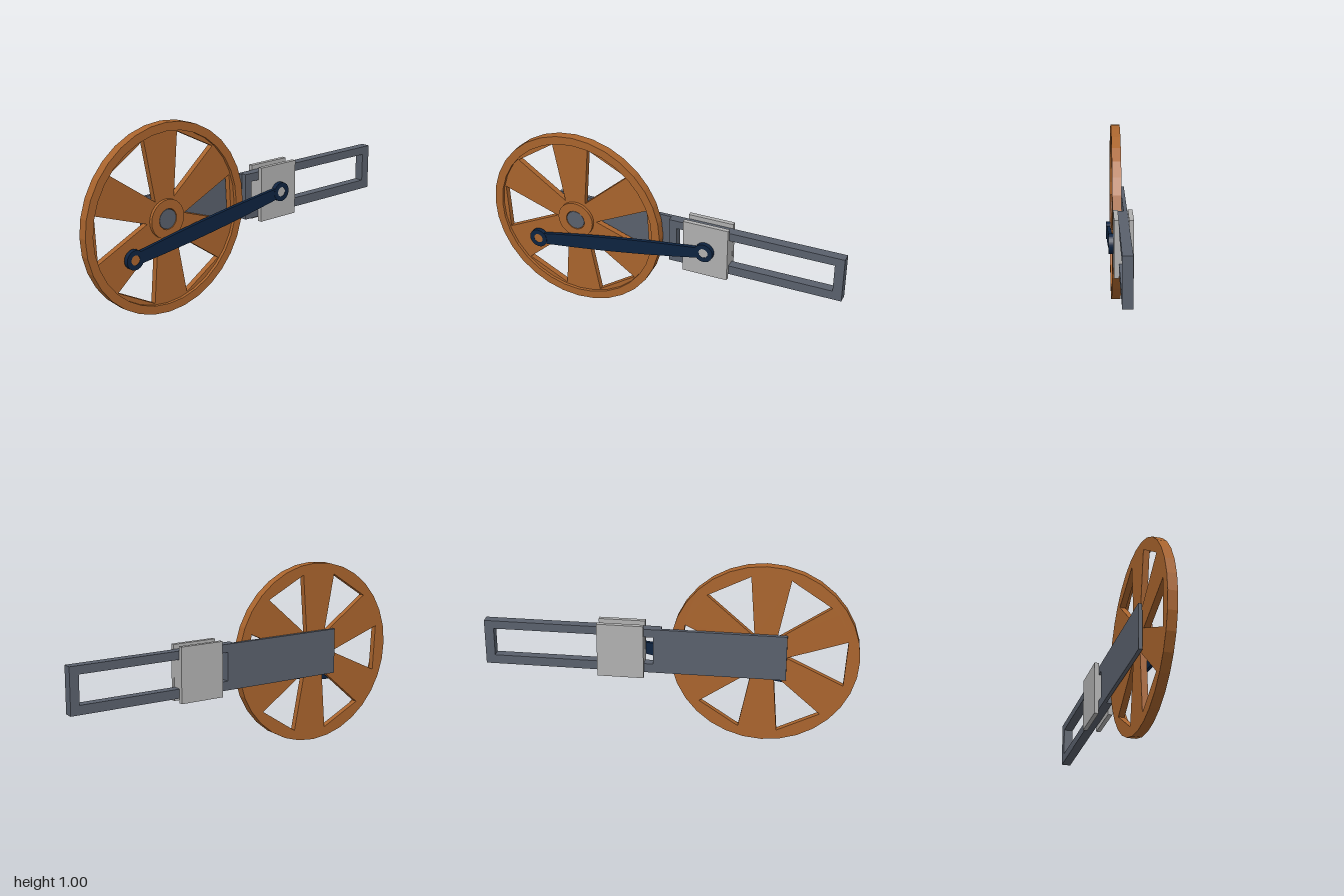
import * as THREE from 'three';

const mat = (name, color) => {
  const m = new THREE.MeshStandardMaterial({ color });
  m.name = name;
  return m;
};

export function createModel() {
  const copper = mat('copper', 0xa9642d);
  const steel = mat('slate steel', 0x59606c);
  const silver = mat('light grey', 0xb0b0b0);
  const navy = mat('navy', 0x0d2340);

  const model = new THREE.Group();
  model.name = 'sliderCrank';

  const add = (parent, name, geometry, material, x = 0, y = 0, z = 0) => {
    const mesh = new THREE.Mesh(geometry, material);
    mesh.name = name;
    mesh.position.set(x, y, z);
    parent.add(mesh);
    return mesh;
  };
  const group = (name, x = 0, y = 0) => {
    const g = new THREE.Group();
    g.name = name;
    g.position.set(x, y, 0);
    model.add(g);
    return g;
  };
  // Extrude a shape between two depths
  const slab = (shape, z0, z1, curveSegments = 16) =>
    new THREE.ExtrudeGeometry(shape, { depth: z1 - z0, bevelEnabled: false, curveSegments }).translate(0, 0, z0);
  const circle = (r, Kind = THREE.Shape) => new Kind().absarc(0, 0, r, 0, Math.PI * 2, false);
  const ring = (outer, inner) => {
    const s = circle(outer);
    s.holes.push(circle(inner, THREE.Path));
    return s;
  };
  const rect = (x0, y0, x1, y1, Kind = THREE.Shape) => {
    const p = new Kind();
    p.moveTo(x0, y0);
    p.lineTo(x1, y0);
    p.lineTo(x1, y1);
    p.lineTo(x0, y1);
    p.closePath();
    return p;
  };
  const pin = (r, z0, z1) =>
    new THREE.CylinderGeometry(r, r, z1 - z0, 24).rotateX(Math.PI / 2).translate(0, 0, (z0 + z1) / 2);

  const cy = 0.505;
  const crank = new THREE.Vector2(-0.225, -0.16);
  const back = -0.0115, front = 0.0385;

  // Flywheel: raised rim and hub around a web with six triangular windows
  const wheel = group('flywheel', -0.5, cy);
  add(wheel, 'rim', slab(ring(0.5, 0.455), back, front), copper);
  const web = ring(0.456, 0.055);
  for (let i = 0; i < 6; i++) {
    const a = THREE.MathUtils.degToRad(3.3 + i * 60), h = THREE.MathUtils.degToRad(16.5);
    const hole = new THREE.Path();
    hole.moveTo(0.118 * Math.cos(a), 0.118 * Math.sin(a));
    hole.lineTo(0.447 * Math.cos(a - h), 0.447 * Math.sin(a - h));
    hole.lineTo(0.447 * Math.cos(a + h), 0.447 * Math.sin(a + h));
    hole.closePath();
    web.holes.push(hole);
  }
  add(wheel, 'spokedWeb', slab(web, back, 0.021), copper);
  add(wheel, 'hub', slab(ring(0.103, 0.055), 0.02, front), copper);
  add(wheel, 'crankPin', pin(0.026, 0.015, 0.062), copper, crank.x, crank.y);

  // Fixed frame: thin backing plate, slotted guide and axle
  const frame = group('frame');
  add(frame, 'backingPlate', slab(rect(-0.62, 0.38, 0.045, 0.63), -0.0385, -0.0185), steel);
  const guide = rect(0.045, 0.38, 1, 0.63);
  guide.holes.push(rect(0.087, 0.43, 0.95, 0.585, THREE.Path));
  add(frame, 'slottedGuide', slab(guide, -0.0385, 0.0125), steel);
  add(frame, 'axle', pin(0.052, -0.02, 0.037), steel, -0.5, cy);

  // Slider: two cheek plates joined through the slot
  const slider = group('slider', 0.26, cy);
  for (const [name, z] of [['frontCheek', 0.0255], ['rearCheek', -0.0505]])
    add(slider, name, new THREE.BoxGeometry(0.25, 0.3, 0.024), silver, 0, 0, z);
  add(slider, 'slotBlock', new THREE.BoxGeometry(0.248, 0.153, 0.056), silver, 0, 0.0025, -0.0125);
  add(slider, 'wristPin', pin(0.026, 0.03, 0.062), silver);

  // Connecting rod: slightly bulged bar with an eye at each end
  const dx = 0.26 - (-0.5 + crank.x), dy = -crank.y;
  const length = Math.hypot(dx, dy);
  const rod = group('connectingRod', -0.5 + crank.x, cy + crank.y);
  rod.rotation.z = Math.atan2(dy, dx);
  const bar = new THREE.Shape();
  bar.moveTo(0.04, -0.032);
  bar.quadraticCurveTo(length / 2, -0.052, length - 0.04, -0.03);
  bar.lineTo(length - 0.04, 0.03);
  bar.quadraticCurveTo(length / 2, 0.052, 0.04, 0.032);
  bar.closePath();
  add(rod, 'rodBar', slab(bar, 0.042, 0.062), navy);
  for (const [name, x] of [['crankEye', 0], ['wristEye', length]])
    add(rod, name, slab(ring(0.052, 0.026), 0.0385, 0.0635), navy, x);

  return model;
}
